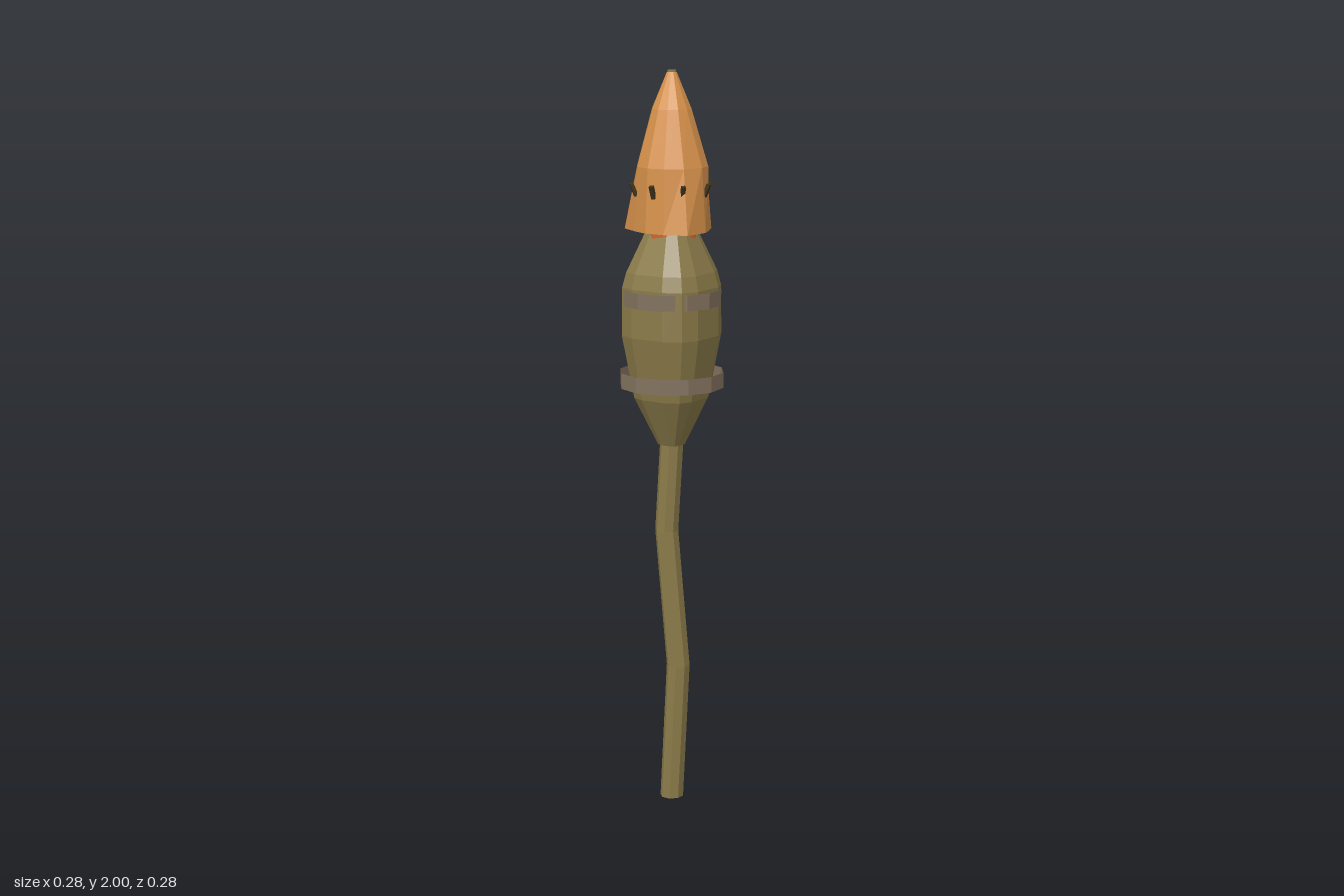
import * as THREE from 'three';

// Joins horizontal cross-sections ({y, pts:[[x,z],...]}, counterclockwise from above) into a faceted skin
function loft(rings, capBottom, capTop) {
  const pos = [];
  const tri = (...p) => p.forEach(v => pos.push(...v));
  const at = (r, i) => { const p = r.pts[i % r.pts.length]; return [p[0], r.y, p[1]]; };
  const centre = r => {
    const n = r.pts.length;
    return [r.pts.reduce((s, p) => s + p[0], 0) / n, r.y, r.pts.reduce((s, p) => s + p[1], 0) / n];
  };
  const n = rings[0].pts.length;
  for (let k = 0; k + 1 < rings.length; k++) {
    for (let i = 0; i < n; i++) {
      const a = at(rings[k], i), b = at(rings[k], i + 1);
      const c = at(rings[k + 1], i + 1), d = at(rings[k + 1], i);
      tri(a, b, c);
      tri(a, c, d);
    }
  }
  const last = rings[rings.length - 1];
  for (let i = 0; i < n; i++) {
    if (capBottom) tri(centre(rings[0]), at(rings[0], i + 1), at(rings[0], i));
    if (capTop) tri(centre(last), at(last, i), at(last, i + 1));
  }
  const g = new THREE.BufferGeometry();
  g.setAttribute('position', new THREE.Float32BufferAttribute(pos, 3));
  g.computeVertexNormals();
  return g;
}

const scaled = (pts, s, dx = 0) => pts.map(([x, z]) => [x * s + dx, z * s]);

function polygon(n, r) {
  return Array.from({ length: n }, (_, i) => {
    const a = (i / n) * Math.PI * 2;
    return [Math.cos(a) * r, -Math.sin(a) * r];
  });
}

function material(name, color, side = THREE.FrontSide) {
  const m = new THREE.MeshStandardMaterial({ color, side, flatShading: true });
  m.name = name;
  return m;
}

export function createModel() {
  const group = new THREE.Group();
  const olive = material('olive', 0x8c7c4a);
  const orange = material('orange', 0xd9934c, THREE.DoubleSide);
  const band = material('greyBrown', 0x83735f, THREE.DoubleSide);
  const dark = material('darkOlive', 0x40361f);
  const red = material('redOrange', 0xcf602c);

  const add = (name, geometry, mat, parent = group) => {
    const mesh = new THREE.Mesh(geometry, mat);
    mesh.name = name;
    parent.add(mesh);
    return mesh;
  };

  // Crooked stem
  const stemPath = [[0, 0], [0.38, 0.018], [0.76, -0.014], [1.01, 0]];
  add('stem', loft(stemPath.map(([y, x]) => ({ y, pts: scaled(polygon(8, 0.032), 1, x) })), true, true), olive);

  // Bulbous body: a twelve-point section with a fourfold turn
  const section = [];
  for (let k = 0, q = [[0.13, 0], [0.127, -0.055], [0.092, -0.092]]; k < 4; k++) {
    section.push(...q);
    q = q.map(([x, z]) => [z, -x]);
  }
  const bodyProfile = [[1.0, 0.27], [1.13, 0.74], [1.3, 0.98], [1.43, 0.97], [1.47, 0.89], [1.575, 0.52]];
  add('body', loft(bodyProfile.map(([y, s]) => ({ y, pts: scaled(section, s) })), true, true), olive);

  // Open bands round the body
  for (const [name, y, r] of [['lowerBand', 1.18, 0.141], ['upperBand', 1.403, 0.134]]) {
    add(name, new THREE.CylinderGeometry(r, r, 0.042, 12, 1, true), band).position.y = y;
  }

  // Collar between body and nose
  add('collar', new THREE.CylinderGeometry(0.068, 0.07, 0.035, 10), red).position.y = 1.58;

  // Uneven flared nose, open underneath
  const flare = [
    [0.1, 0], [0.095, -0.06], [0.065, -0.113], [0, -0.11], [-0.052, -0.092], [-0.09, -0.05],
    [-0.128, 0], [-0.09, 0.05], [-0.052, 0.09], [0, 0.11], [0.065, 0.11], [0.1, 0.045],
  ];
  const middle = flare.map(([x, z]) => {
    const f = Math.min(1, 0.098 / Math.hypot(x, z));
    return [x < 0 ? x * f * 0.95 : x * f, z * f];
  });
  add('nose', loft([
    { y: 1.58, pts: flare },
    { y: 1.75, pts: middle },
    { y: 1.9, pts: polygon(12, 0.053) },
    { y: 1.995, pts: polygon(12, 0.013) },
  ], false, false), orange);

  // Blunt tip
  const tip = add('tip', new THREE.CylinderGeometry(0.012, 0.013, 0.012, 6), olive);
  tip.position.y = 1.994;

  // Ring of small pegs leaning outwards
  const pegs = new THREE.Group();
  pegs.name = 'pegs';
  group.add(pegs);
  for (let k = 0; k < 8; k++) {
    const pivot = new THREE.Group();
    pivot.rotation.y = -THREE.MathUtils.degToRad(17 + 45 * k);
    const peg = add('peg', new THREE.BoxGeometry(0.01, 0.036, 0.011), dark, pivot);
    peg.position.set(0.104, 1.69, 0);
    peg.rotation.z = -0.4;
    pegs.add(pivot);
  }

  return group;
}
